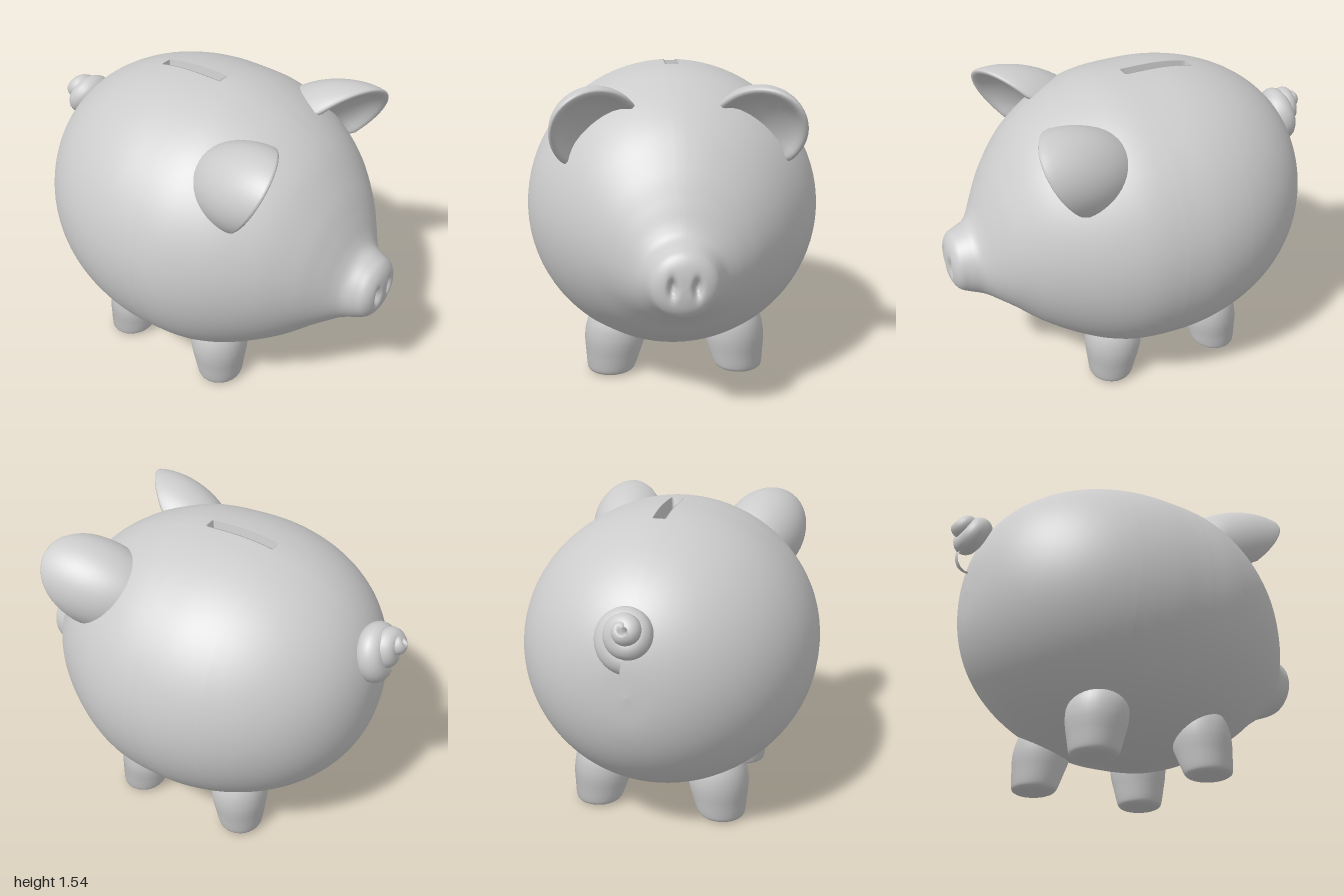
import * as THREE from 'three';

const V3 = (x, y, z) => new THREE.Vector3(x, y, z);
const material = new THREE.MeshStandardMaterial({ color: 0xcccccc });

// Smooth skin over rows of points; every row is a closed loop
function skin(rows, flip = false) {
  const n = rows[0].length, index = [];
  for (let i = 0; i < rows.length - 1; i++) {
    for (let j = 0; j < n; j++) {
      const k = (j + 1) % n;
      const a = i * n + j, b = a + n, c = i * n + k, d = c + n;
      if (flip) index.push(a, c, b, b, c, d);
      else index.push(a, b, c, b, d, c);
    }
  }
  const geo = new THREE.BufferGeometry().setFromPoints(rows.flat());
  geo.setIndex(index);
  geo.computeVertexNormals();
  return geo;
}

function part(name, geo) {
  const mesh = new THREE.Mesh(geo, material);
  mesh.name = name;
  return mesh;
}

// Body and snout: elliptical sections along z, with coin slot and nostrils pressed in
function bodyGeometry() {
  const stations = []; // z, centre y, half height, half width
  for (let i = 0; i <= 9; i++) {
    const a = (i / 9) * Math.PI / 2, s = Math.sin(a), c = Math.cos(a);
    stations.push([-0.05 - 0.83 * c, 0.8225 + 0.03 * c, 0.713 * s ** 0.87, 0.744 * s ** 0.96]);
  }
  const front = [ // z, top, bottom, half width
    [0.15, 1.525, 0.116, 0.73], [0.3, 1.485, 0.152, 0.688], [0.45, 1.418, 0.222, 0.612],
    [0.6, 1.307, 0.318, 0.502], [0.72, 1.155, 0.42, 0.38], [0.79, 1.03, 0.47, 0.288],
    [0.835, 0.935, 0.5, 0.225], [0.87, 0.888, 0.515, 0.188], [0.92, 0.865, 0.535, 0.163],
    [0.96, 0.845, 0.558, 0.145], [0.985, 0.81, 0.595, 0.112], [0.997, 0.76, 0.645, 0.06],
    [1, 0.7, 0.7, 0.001],
  ];
  for (const [z, t, b, w] of front) stations.push([z, (t + b) / 2, (t - b) / 2, w]);

  const spline = (f) => new THREE.CatmullRomCurve3(stations.map(f), false, 'catmullrom');
  const heights = spline((s) => V3(s[0], s[1], s[2]));
  const widths = spline((s) => V3(s[0], s[3], 0));
  const rings = [];
  const count = (stations.length - 1) * 6;
  for (let i = 0; i <= count; i++) {
    const p = heights.getPoint(i / count), w = widths.getPoint(i / count).y;
    rings.push([p.x, p.y, Math.max(p.z, 0.001), Math.max(w, 0.001)]);
  }

  // extra rings and columns along the slot edges
  for (const z of [-0.322, -0.312, -0.305, 0.033, 0.04, 0.05]) {
    const k = rings.findIndex((r) => r[0] > z);
    const [a, b] = [rings[k - 1], rings[k]];
    const t = (z - a[0]) / (b[0] - a[0]);
    rings.splice(k, 0, a.map((v, i) => v + (b[i] - v) * t));
  }
  const angles = [];
  for (let i = 0; i < 80; i++) angles.push((i / 80) * Math.PI * 2 - Math.PI);
  for (const a of [0.025, 0.036, 0.042, 0.05]) angles.push(a, -a);
  angles.sort((a, b) => a - b);

  return skin(rings.map(([z, cy, hh, hw]) => angles.map((a) => {
    const p = V3(hw * Math.sin(a), cy + hh * Math.cos(a), z);
    if (Math.abs(a) < 0.037 && z > -0.306 && z < 0.034) p.y -= 0.07;
    if (z > 0.93) {
      const dx = (Math.abs(p.x) - 0.053) / 0.017, dy = (p.y - 0.7) / 0.04;
      p.z -= 0.04 * Math.exp(-dx * dx - dy * dy);
    }
    return p;
  })));
}

// Ear: cupped shell with a rolled rim, opening forward and down; side is +1 or -1
function earGeometry(side) {
  const centre = V3(0.37, 1.27, 0.46);
  const U = V3(0.17, -0.13, 0.015), V = V3(0.13, 0.178, 0.18), W = V3(0.04, 0.04, -0.29);
  const profile = []; // radius, depth
  for (let i = 0; i <= 14; i++) {
    const a = (1 - i / 14) * Math.PI / 2;
    profile.push([Math.max(Math.cos(a), 0.005), Math.sin(a)]);
  }
  profile.push([0.985, -0.04], [0.95, -0.06], [0.9, -0.06], [0.85, -0.03], [0.79, 0.03],
    [0.7, 0.1], [0.55, 0.17], [0.3, 0.22], [0.005, 0.24]);
  return skin(profile.map(([r, d]) => {
    const row = [];
    for (let j = 0; j < 48; j++) {
      const a = (j / 48) * Math.PI * 2, s = Math.sin(a);
      const p = centre.clone().addScaledVector(U, r * Math.cos(a))
        .addScaledVector(V, r * s).addScaledVector(W, d);
      if (s < 0) p.z += 0.15 * r * s; // tuck the lower half into the body
      p.x *= side;
      row.push(p);
    }
    return row;
  }), side > 0);
}

// Leg: tapered stump that leans outward towards its foot
function legGeometry(sx, sz) {
  const outline = new THREE.SplineCurve([
    [0.096, 0.004], [0.116, 0.015], [0.126, 0.04], [0.139, 0.1], [0.15, 0.15], [0.156, 0.2],
    [0.152, 0.26], [0.128, 0.32], [0.08, 0.36],
  ].map(([r, y]) => new THREE.Vector2(r, y))).getPoints(24);
  outline.unshift(new THREE.Vector2(0, 0), new THREE.Vector2(0.07, 0));
  const geo = new THREE.LatheGeometry(outline, 32);
  const pos = geo.attributes.position;
  for (let i = 0; i < pos.count; i++) {
    const lean = 0.14 * pos.getY(i);
    pos.setX(i, pos.getX(i) - sx * lean);
    pos.setZ(i, pos.getZ(i) * 0.93 - sz * lean);
  }
  return geo;
}

// Tail: thick tapering coil that winds in to a rounded tip
function tailGeometry() {
  const axis = V3(0, 0.34, -0.94), up = V3(0, 0.94, 0.34), across = V3(1, 0, 0);
  const base = V3(0, 1.115, -0.838);
  const points = [];
  for (let i = 0; i <= 50; i++) {
    const t = i / 50, a = -Math.PI / 2 + t * Math.PI * 5, r = 0.085 * (1 - t);
    points.push(base.clone().addScaledVector(axis, 0.15 * t)
      .addScaledVector(up, 0.05 * t + r * Math.sin(a))
      .addScaledVector(across, -0.02 * t + r * Math.cos(a)));
  }
  const curve = new THREE.CatmullRomCurve3(points);
  const steps = 120, frames = curve.computeFrenetFrames(steps);
  const rows = [];
  for (let i = 0; i <= steps; i++) {
    const t = i / steps, end = THREE.MathUtils.clamp((t - 0.92) / 0.08, 0, 0.999);
    const r = (0.072 - 0.027 * t) * Math.sqrt(1 - end * end);
    const c = curve.getPointAt(t), row = [];
    for (let j = 0; j < 16; j++) {
      const a = (j / 16) * Math.PI * 2;
      row.push(c.clone().addScaledVector(frames.normals[i], r * Math.cos(a))
        .addScaledVector(frames.binormals[i], r * Math.sin(a)));
    }
    rows.push(row);
  }
  return skin(rows, true);
}

export function createModel() {
  const group = new THREE.Group();
  group.name = 'piggyBank';
  group.add(part('body', bodyGeometry()), part('tail', tailGeometry()));
  for (const side of [1, -1]) {
    const label = side > 0 ? 'left' : 'right';
    group.add(part(label + 'Ear', earGeometry(side)));
    for (const [name, z] of [['FrontLeg', 0.275], ['BackLeg', -0.343]]) {
      const leg = part(label + name, legGeometry(side, Math.sign(z)));
      leg.position.set(side * 0.33, 0, z);
      group.add(leg);
    }
  }
  return group;
}
